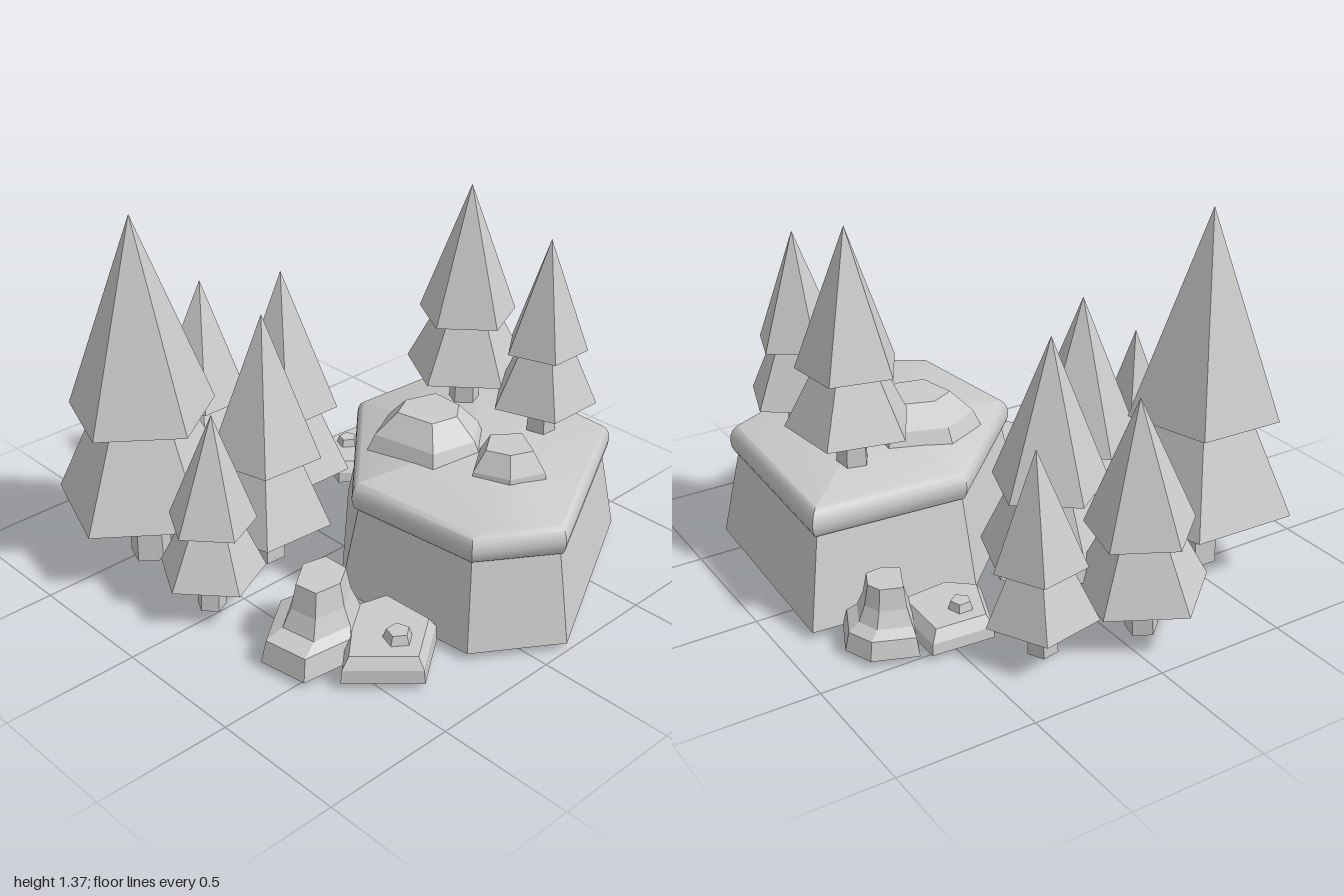
import * as THREE from 'three';
import { toCreasedNormals } from 'three/addons/utils/BufferGeometryUtils.js';

const flat = new THREE.MeshStandardMaterial({ color: 0xcccccc, flatShading: true });
const creased = new THREE.MeshStandardMaterial({ color: 0xcccccc });

function mesh(geometry, name, material = flat) {
  const m = new THREE.Mesh(geometry, material);
  m.name = name;
  return m;
}

// Closed solid from an outline [x, z] (running +z, +x, -z, -x) and rings
// [scale, y, shiftX, shiftZ] about the centre, with capped ends.
function loft(outline, [cx, cz], rings, dome = 0) {
  const n = outline.length;
  const at = ([s, y, dx = 0, dz = 0], j) => {
    const [x, z] = outline[j % n];
    return [cx + (x - cx) * s + dx, y, cz + (z - cz) * s + dz];
  };
  const mid = ([, y, dx = 0, dz = 0], rise) => [cx + dx, y + rise, cz + dz];
  const first = rings[0], last = rings[rings.length - 1], pos = [];
  for (let j = 0; j < n; j++) {
    for (let i = 0; i < rings.length - 1; i++) {
      const a = at(rings[i], j), b = at(rings[i], j + 1);
      const c = at(rings[i + 1], j + 1), d = at(rings[i + 1], j);
      pos.push(...a, ...b, ...c, ...a, ...c, ...d);
    }
    pos.push(...at(last, j), ...at(last, j + 1), ...mid(last, dome));
    pos.push(...at(first, j + 1), ...at(first, j), ...mid(first, 0));
  }
  const g = new THREE.BufferGeometry();
  g.setAttribute('position', new THREE.Float32BufferAttribute(pos, 3));
  g.computeVertexNormals();
  return g;
}

// Five-sided two-tier fir; heights are measured from its foot.
function fir(name, o) {
  const g = new THREE.Group();
  g.name = name;
  const part = (label, rTop, rBottom, y0, y1) => {
    const m = mesh(new THREE.CylinderGeometry(rTop, rBottom, y1 - y0, 5), label);
    m.position.y = (y0 + y1) / 2;
    g.add(m);
  };
  part('trunk', o.trunk * 0.9, o.trunk, 0, o.low + 0.03);
  part('lowerBranches', o.rLow * 0.5, o.rLow, o.low, o.mid + 0.01);
  part('upperBranches', 0, o.rUp, o.mid, o.top);
  g.position.set(o.x, o.y || 0, o.z);
  g.rotation.set(0, THREE.MathUtils.degToRad(o.turn), -(o.lean || 0), 'ZYX');
  return g;
}

export function createModel() {
  const model = new THREE.Group();
  model.name = 'rockyForest';

  // Plateau with sloping sides, rounded rim and slightly domed top
  const cliff = [[0.114, 0.995], [0.85, 0.615], [0.885, -0.21], [0.257, -0.25], [-0.235, 0.23], [-0.18, 0.8]];
  const c = [0.33, 0.37];
  model.add(mesh(loft(cliff, c, [[1, 0.025], [0.87, 0.37]]), 'plateauBase'));
  const rim = loft(cliff, c, [[0.86, 0.35], [0.9, 0.355], [0.918, 0.375], [0.925, 0.4],
    [0.918, 0.425], [0.9, 0.445], [0.875, 0.458]], 0.028);
  model.add(mesh(toCreasedNormals(rim, 0.75), 'plateauTop', creased));

  // Firs on the ground and on the plateau
  const firs = {
    tallFir: { x: -0.56, z: -0.475, top: 1.365, mid: 0.61, low: 0.25, rUp: 0.28, rLow: 0.345, trunk: 0.08, turn: -2 },
    backFir: { x: -0.105, z: -0.75, top: 0.885, mid: 0.4, low: 0.165, rUp: 0.2, rLow: 0.245, trunk: 0.06, turn: 40, lean: 0.05 },
    backLeftFir: { x: 0.26, z: -0.68, top: 0.765, mid: 0.345, low: 0.145, rUp: 0.165, rLow: 0.2, trunk: 0.055, turn: 8, lean: 0.045 },
    middleFir: { x: 0.05, z: -0.4, top: 1, mid: 0.45, low: 0.18, rUp: 0.215, rLow: 0.26, trunk: 0.065, turn: 35 },
    innerFir: { x: -0.25, z: -0.16, top: 1, mid: 0.45, low: 0.17, rUp: 0.215, rLow: 0.25, trunk: 0.07, turn: 32 },
    smallFir: { x: -0.61, z: -0.05, top: 0.765, mid: 0.345, low: 0.145, rUp: 0.165, rLow: 0.2, trunk: 0.055, turn: -10, lean: 0.045 },
    plateauBackFir: { x: 0.56, y: 0.46, z: 0.08, top: 0.88, mid: 0.37, low: 0.15, rUp: 0.19, rLow: 0.235, trunk: 0.06, turn: -12 },
    plateauFrontFir: { x: 0.585, y: 0.46, z: 0.44, top: 0.765, mid: 0.345, low: 0.135, rUp: 0.155, rLow: 0.2, trunk: 0.058, turn: 36 },
  };
  for (const [name, o] of Object.entries(firs)) model.add(fir(name, o));

  const boulder = (name, outline, centre, rings, dome) =>
    model.add(mesh(loft(outline, centre, rings, dome), name));

  // Stepped boulder and flat slab with a small knob, right of the plateau
  const step = [[-0.475, 0.555], [-0.31, 0.44], [-0.315, 0.23], [-0.505, 0.19], [-0.715, 0.345], [-0.685, 0.53]];
  boulder('rightBoulder', step, [-0.5, 0.385],
    [[1, 0.02], [0.9, 0.1], [0.72, 0.125, 0.03], [0.57, 0.19, 0.03], [0.47, 0.28, 0.03]]);
  const slab = [[-0.395, 0.81], [-0.18, 0.66], [-0.19, 0.42], [-0.34, 0.38], [-0.6, 0.615]];
  boulder('rightSlab', slab, [-0.37, 0.6], [[1, 0.02], [0.97, 0.07], [0.82, 0.11]]);

  // Matching pair behind the plateau
  const backStep = [[0.64, -0.2], [0.77, -0.21], [0.835, -0.355], [0.795, -0.46], [0.64, -0.52], [0.53, -0.27]];
  boulder('backBoulder', backStep, [0.67, -0.34],
    [[1, 0.02], [0.9, 0.085], [0.72, 0.11, -0.01], [0.57, 0.165, -0.01], [0.48, 0.24, -0.01]]);
  const backSlab = [[0.385, -0.24], [0.6, -0.26], [0.605, -0.54], [0.37, -0.555], [0.28, -0.33]];
  boulder('backSlab', backSlab, [0.45, -0.4], [[1, 0.02], [0.97, 0.06], [0.8, 0.1]]);

  // Knobs on the slabs
  for (const [x, y, z, r] of [[-0.37, 0.125, 0.655, 0.055], [0.435, 0.11, -0.44, 0.048]]) {
    const knob = mesh(new THREE.CylinderGeometry(r * 0.75, r, 0.04, 5), 'slabKnob');
    knob.position.set(x, y, z);
    model.add(knob);
  }

  // Boulders on the plateau
  const large = [[0.27, 0.43], [0.41, 0.32], [0.415, 0.09], [0.19, 0.015], [0.015, 0.105], [0.07, 0.385]];
  boulder('plateauLargeBoulder', large, [0.22, 0.22], [[1, 0.46], [0.88, 0.52], [0.52, 0.6]]);
  const small = [[0.32, 0.695], [0.425, 0.52], [0.285, 0.41], [0.135, 0.51], [0.19, 0.64]];
  boulder('plateauSmallBoulder', small, [0.28, 0.55], [[1, 0.46], [0.97, 0.49], [0.64, 0.565]]);

  return model;
}
